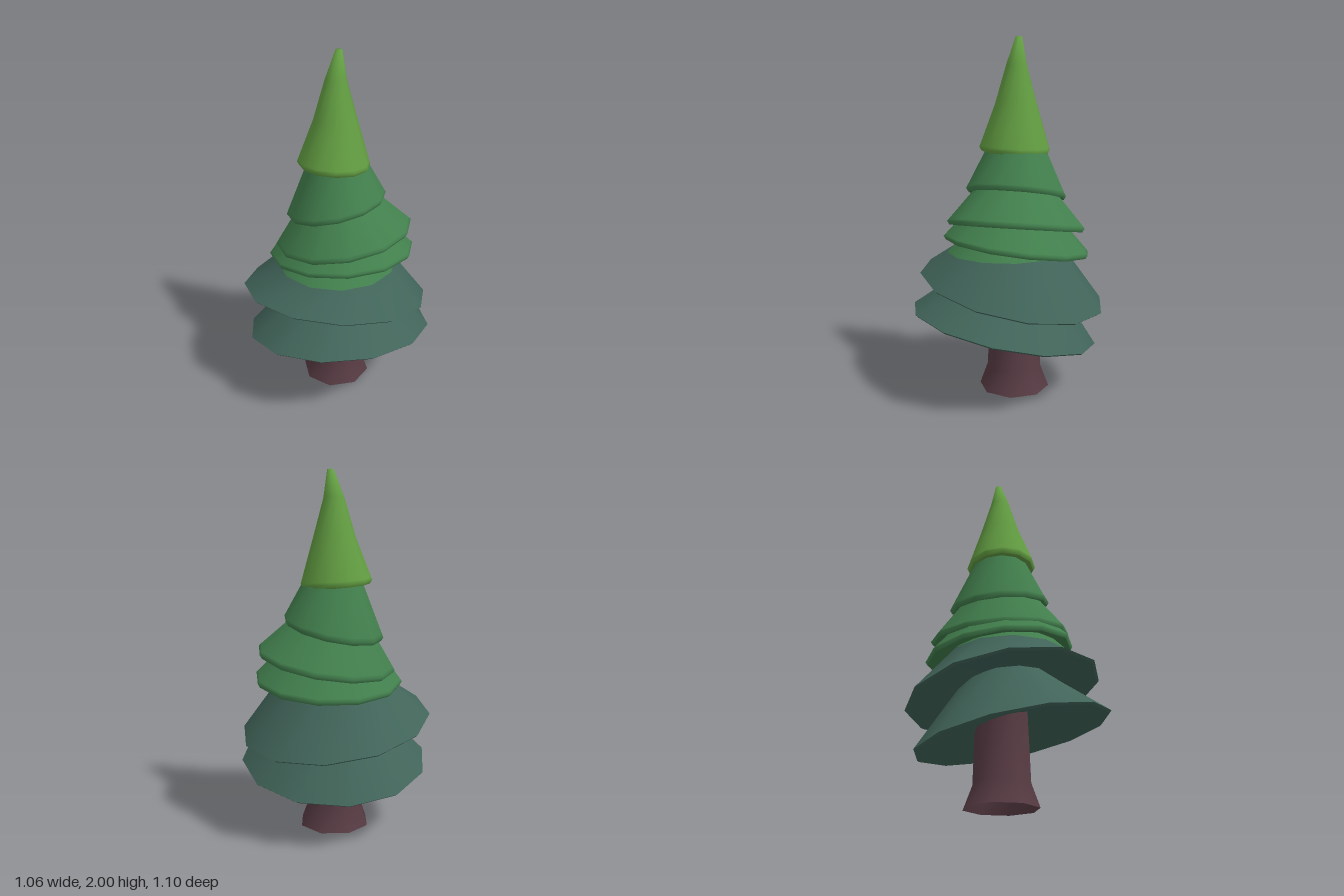
import * as THREE from 'three';
import { toCreasedNormals } from 'three/addons/utils/BufferGeometryUtils.js';

// Loft an open shell through rings given as
// [centreX, y, centreZ, radius, slopeX, slopeZ], where the slopes tilt a ring.
function loft(rings, { sides = 12, offset = 0, closeTop = false, crease = 1.7 } = {}) {
  const pos = [], index = [];
  for (const [cx, y, cz, r, sx = 0, sz = 0] of rings) {
    for (let i = 0; i < sides; i++) {
      const a = offset + (i / sides) * Math.PI * 2;
      const dx = r * Math.cos(a), dz = r * Math.sin(a);
      pos.push(cx + dx - sx * sz * dz, y + sx * dx + sz * dz, cz + dz);
    }
  }
  for (let k = 0; k < rings.length - 1; k++) {
    for (let i = 0; i < sides; i++) {
      const a = k * sides + i, b = k * sides + (i + 1) % sides;
      const c = a + sides, d = b + sides;
      index.push(a, c, b, b, c, d);
    }
  }
  if (closeTop) {
    const last = rings.length - 1, centre = pos.length / 3;
    pos.push(rings[last][0], rings[last][1], rings[last][2]);
    for (let i = 0; i < sides; i++) {
      index.push(centre, last * sides + (i + 1) % sides, last * sides + i);
    }
  }
  const geometry = new THREE.BufferGeometry();
  geometry.setAttribute('position', new THREE.Float32BufferAttribute(pos, 3));
  geometry.setIndex(index);
  return toCreasedNormals(geometry, crease);
}

function material(name, color, side = THREE.FrontSide) {
  const m = new THREE.MeshStandardMaterial({ color, side });
  m.name = name;
  return m;
}

export function createModel() {
  const tree = new THREE.Group();
  tree.name = 'pineTree';
  const bark = material('bark', 0x573b43, THREE.DoubleSide);
  const teal = material('darkTealNeedles', 0x416459);
  const green = material('greenNeedles', 0x427f4d);
  const lime = material('limeNeedles', 0x639e42);

  function add(name, mat, rings, options) {
    const mesh = new THREE.Mesh(loft(rings, options), mat);
    mesh.name = name;
    tree.add(mesh);
  }

  // One tier: a cone with a small hem and a shallow hollow underside.
  // A soft tier has a shoulder ring, so that the hem is shaded round.
  function tier(name, mat, rim, upper, { soft = true, ...options } = {}) {
    const [cx, y, cz, r, sx, sz] = rim;
    const drop = soft ? 0.02 : 0.01;
    const edge = [cx, y - drop, cz, r - 0.012, sx, sz];
    const inner = [cx, y - drop + 0.25 * (r - 0.12), cz, 0.12, sx, sz];
    const shoulder = rim.map((v, i) => v + ((upper[0][i] ?? 0) - v) * 0.06);
    const rings = soft ? [edge, rim, shoulder, ...upper] : [edge, rim, ...upper];
    add(name, mat, rings, { crease: soft ? 1.7 : 0.7, ...options });
    add(name + 'Underside', mat, [inner, edge], { offset: options.offset });
  }

  // Trunk with a flared foot
  add('trunk', bark, [
    [0.012, 0, -0.021, 0.202],
    [0.01, 0.125, -0.02, 0.155],
    [0.015, 0.54, -0.02, 0.142],
  ], { sides: 8 });

  // Two wide dark skirts
  tier('bottomTier', teal, [-0.01, 0.384, 0.038, 0.531, -0.08, 0.205], [
    [0.02, 0.69, 0.01, 0.24, -0.06, 0.1],
  ], { soft: false, offset: Math.PI / 12 });
  tier('secondTier', teal, [0.002, 0.603, -0.014, 0.532, -0.175, 0.108], [
    [-0.01, 0.815, 0.02, 0.338],
  ], { soft: false });
  // Green band that finishes the second tier above a level line
  add('secondTierTop', green, [
    [-0.01, 0.815, 0.02, 0.338],
    [0, 0.98, 0, 0.2],
  ], { closeTop: true, crease: 0.7 });

  // Green middle tiers, each tilted its own way
  tier('thirdTier', green, [0.045, 0.86, -0.012, 0.415, -0.03, 0.14], [
    [0.02, 1.05, -0.005, 0.24, 0.02, 0.1],
  ]);
  tier('fourthTier', green, [0.055, 0.968, -0.005, 0.39, 0.1, 0.155], [
    [0.02, 1.22, -0.02, 0.18, 0.08, 0.1],
  ]);
  tier('fifthTier', green, [0.02, 1.147, -0.03, 0.282, 0.13, 0.2], [
    [0.022, 1.42, -0.025, 0.155],
  ]);

  // Bright pointed crown, leaning slightly at the tip
  tier('crown', lime, [0.004, 1.395, -0.03, 0.2, -0.08, 0.01], [
    [0.015, 1.64, -0.03, 0.118],
    [0.018, 1.85, -0.03, 0.058],
    [0.038, 2.0, -0.03, 0.018],
  ], { closeTop: true });
  return tree;
}
